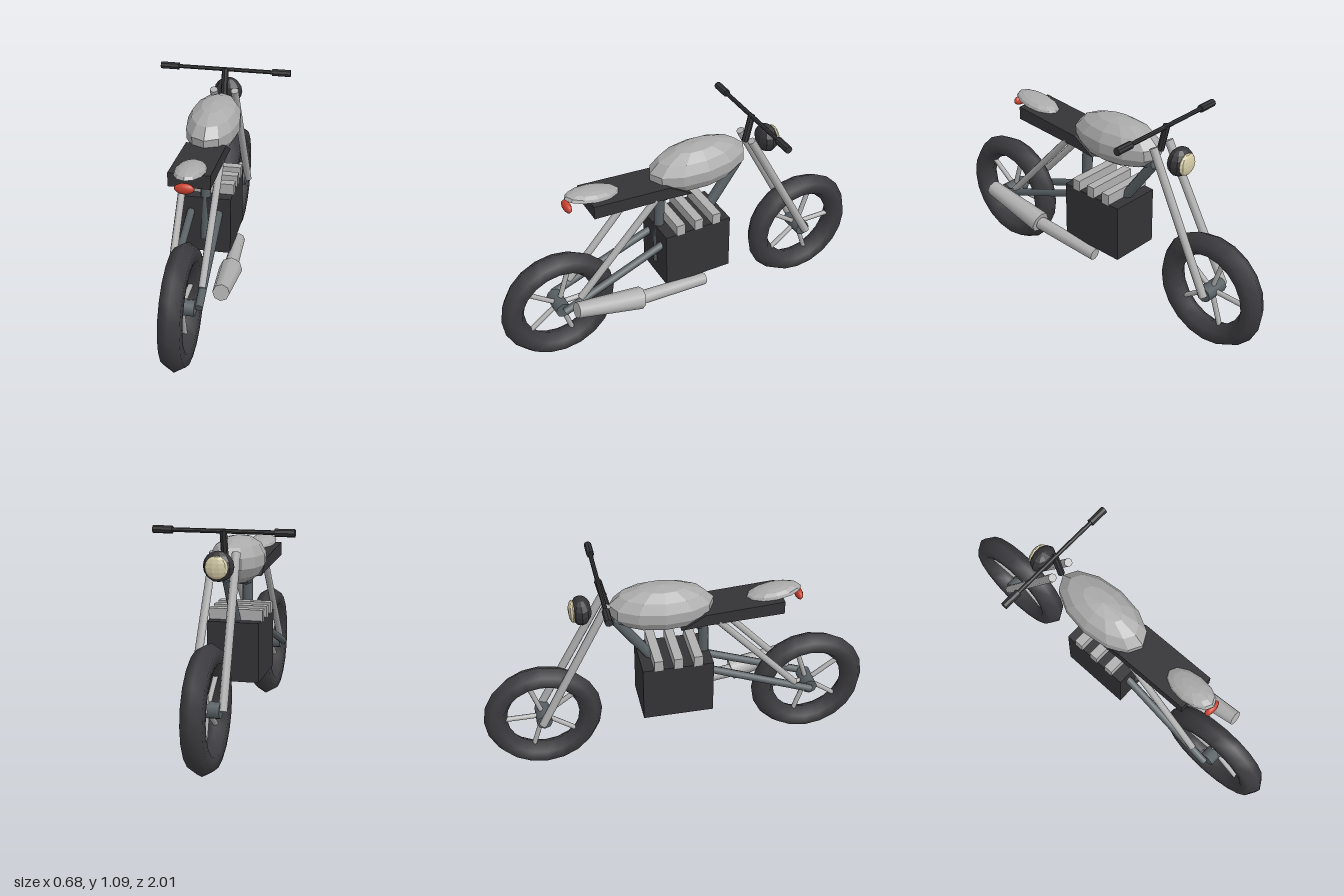
import * as THREE from 'three';

const mat = (name, color, extra = {}) => {
  const m = new THREE.MeshStandardMaterial({ color, ...extra });
  m.name = name;
  return m;
};

export function createModel() {
  const root = new THREE.Group();
  root.name = 'motorcycle';

  const rubber = mat('rubber', 0x3c3c40);
  const black = mat('black', 0x343437, { flatShading: true });
  const steel = mat('darkSteel', 0x586064);
  const chrome = mat('silver', 0xb0b0b0);
  const paint = mat('tankPaint', 0xaaaaaa, { flatShading: true, side: THREE.DoubleSide });
  const red = mat('red', 0xc8412f);
  const cream = mat('lens', 0xd6cca8, { flatShading: true });

  const add = (name, geo, material, pos = [0, 0, 0], parent = root) => {
    const m = new THREE.Mesh(geo, material);
    m.name = name;
    m.position.set(...pos);
    parent.add(m);
    return m;
  };
  // Round bar from a to b
  const bar = (name, a, b, r0, r1, material, parent = root) => {
    const A = new THREE.Vector3(...a), B = new THREE.Vector3(...b);
    const d = B.clone().sub(A);
    const m = add(name, new THREE.CylinderGeometry(r1, r0, d.length(), 8), material,
      A.clone().add(B).multiplyScalar(0.5).toArray(), parent);
    m.quaternion.setFromUnitVectors(new THREE.Vector3(0, 1, 0), d.normalize());
    return m;
  };
  const blob = (name, size, pos, material, w = 10, h = 7) =>
    add(name, new THREE.SphereGeometry(1, w, h).scale(...size), material, pos);

  // Wheels: tyre, hub and five spokes
  for (const [name, z] of [['frontWheel', -0.7], ['rearWheel', 0.7]]) {
    const wheel = new THREE.Group();
    wheel.name = name;
    wheel.position.set(0, 0.303, z);
    root.add(wheel);
    add('tyre', new THREE.TorusGeometry(0.244, 0.059, 6, 20).rotateY(Math.PI / 2), rubber, [0, 0, 0], wheel);
    bar('hub', [-0.065, 0, 0], [0.065, 0, 0], 0.04, 0.04, steel, wheel);
    for (let i = 0; i < 5; i++) {
      const a = (i * Math.PI * 2) / 5;
      bar('spoke', [0, 0, 0], [0, Math.sin(a) * 0.21, -Math.cos(a) * 0.21], 0.013, 0.013, chrome, wheel);
    }
  }

  // Paired tubes and grips
  for (const s of [-1, 1]) {
    bar('forkTube', [s * 0.055, 0.97, -0.355], [s * 0.076, 0.3, -0.71], 0.021, 0.021, chrome);
    bar('shock', [s * 0.085, 0.82, 0.19], [s * 0.077, 0.36, 0.61], 0.018, 0.018, chrome);
    bar('swingarm', [s * 0.07, 0.53, 0.12], [s * 0.08, 0.305, 0.7], 0.02, 0.02, steel);
    bar('grip', [s * 0.245, 1.074, -0.385], [s * 0.34, 1.074, -0.385], 0.019, 0.019, black);
  }

  // Handlebar and stem
  bar('handlebar', [-0.25, 1.074, -0.385], [0.25, 1.074, -0.385], 0.011, 0.011, black);
  bar('stem', [0, 0.94, -0.352], [0, 1.08, -0.385], 0.018, 0.018, black);

  // Frame
  bar('backbone', [0, 0.76, 0.13], [0, 0.85, -0.32], 0.03, 0.03, steel);
  bar('downTube', [0, 0.84, -0.31], [0, 0.56, -0.11], 0.027, 0.027, steel);
  bar('seatTube', [0, 0.76, 0.13], [0, 0.37, 0.143], 0.027, 0.027, steel);

  // Engine block with cooling fins
  add('engine', new THREE.BoxGeometry(0.26, 0.3, 0.36), black, [0, 0.45, -0.02]);
  for (const z of [0.08, -0.02, -0.12]) {
    add('coolingFin', new THREE.BoxGeometry(0.272, 0.06, 0.046), chrome, [0, 0.625, z]);
  }

  // Exhaust on the left
  bar('exhaustPipe', [0.138, 0.267, -0.05], [0.16, 0.305, 0.36], 0.032, 0.035, chrome);
  bar('muffler', [0.163, 0.308, 0.325], [0.18, 0.385, 0.675], 0.057, 0.04, chrome);

  // Fuel tank
  const tank = blob('fuelTank', [0.135, 0.12, 0.268], [0, 0.897, -0.08], paint, 12, 7);
  tank.rotation.x = 0.04;

  // Seat with a wedge nose running under the tank
  const profile = new THREE.Shape([
    [-0.52, 0.828], [-0.13, 0.812], [0, 0.8], [-0.12, 0.873], [-0.52, 0.897],
  ].map(([x, y]) => new THREE.Vector2(x, y)));
  const seatGeo = new THREE.ExtrudeGeometry(profile, { depth: 0.2, bevelEnabled: false })
    .translate(0, 0, -0.1).rotateY(Math.PI / 2);
  add('seat', seatGeo, black);

  // Tail cowl: flattened open dome
  const cowl = add('tailCowl',
    new THREE.SphereGeometry(1, 12, 4, 0, Math.PI * 2, 0, Math.PI / 2).scale(0.074, 0.037, 0.142),
    paint, [0, 0.898, 0.487]);
  cowl.rotation.x = -0.12;

  // Lights
  blob('tailLight', [0.048, 0.026, 0.02], [0, 0.872, 0.618], red);
  blob('headlight', [0.075, 0.073, 0.053], [0, 0.923, -0.475], black, 10, 8);
  blob('headlightLens', [0.056, 0.056, 0.02], [0, 0.923, -0.516], cream, 10, 8);

  return root;
}
